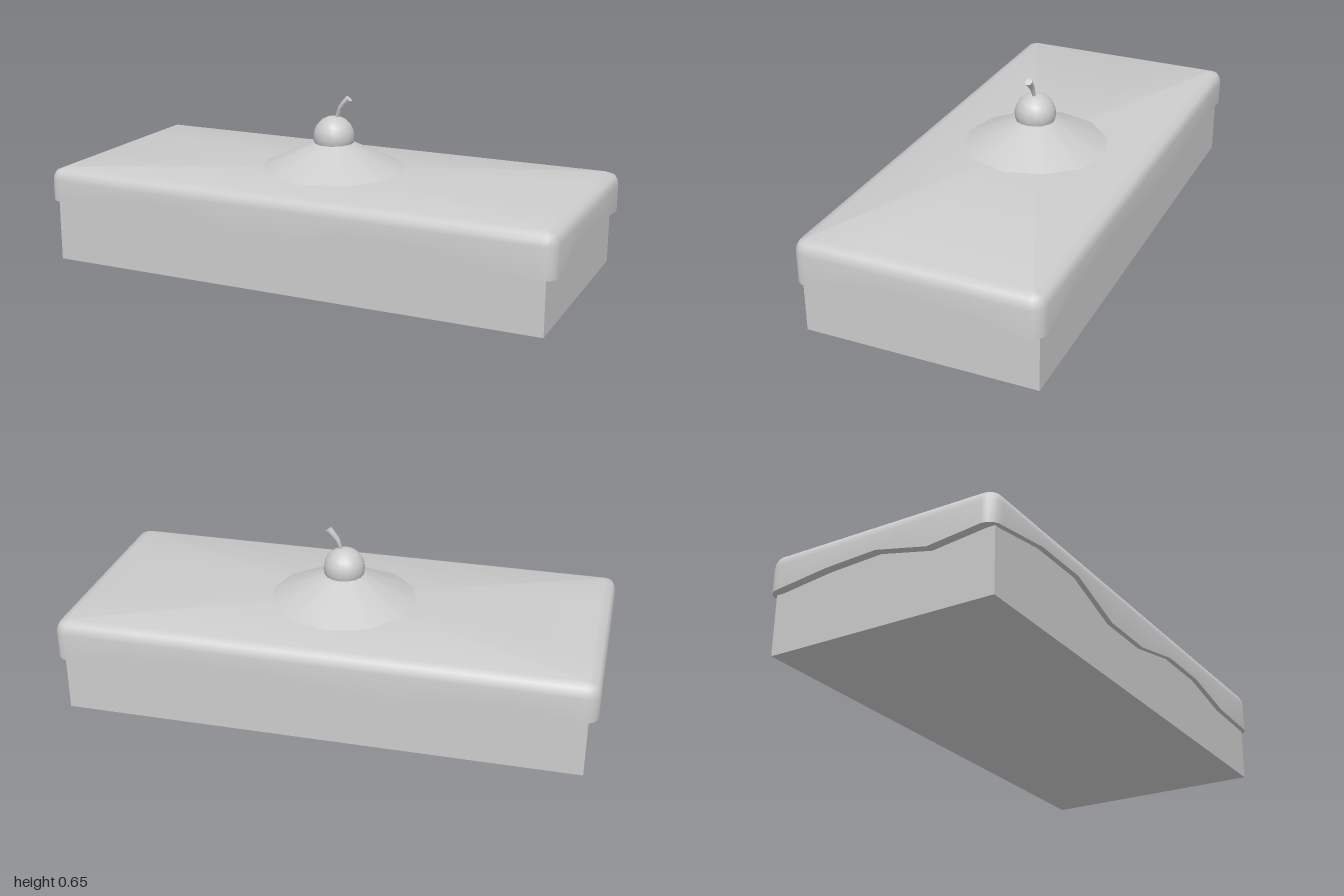
import * as THREE from 'three';
import { toCreasedNormals } from 'three/addons/utils/BufferGeometryUtils.js';

const HALF_X = 1, HALF_Z = 0.455, CORNER = 0.05;

// Height of the wavy lower icing edge along each side, walking round the cake
const SIDES = [
  { start: [-1, 1], dir: [1, 0], low: [0.238, 0.278, 0.28, 0.205, 0.205, 0.255, 0.255, 0.21, 0.203] },
  { start: [1, 1], dir: [0, -1], low: [0.2, 0.258, 0.258, 0.24, 0.213] },
  { start: [1, -1], dir: [-1, 0], low: [0.213, 0.25, 0.26, 0.255, 0.225, 0.21, 0.235, 0.25, 0.225] },
  { start: [-1, -1], dir: [0, 1], low: [0.225, 0.25, 0.26, 0.215, 0.238] },
];

// Rounded rectangle outline, pulled in by inset; y = null follows the wavy edge
function outline(inset, y) {
  const points = [];
  const r = CORNER - inset, cx = HALF_X - CORNER, cz = HALF_Z - CORNER;
  SIDES.forEach(({ start, dir, low }) => {
    const n = low.length - 1;
    const out = [dir[1] * -1, dir[0]];
    low.forEach((h, i) => {
      const t = 2 * i / n;
      points.push([(start[0] + dir[0] * t) * cx + out[0] * r, y ?? h, (start[1] + dir[1] * t) * cz + out[1] * r]);
    });
    // Corner arc to the next side
    const ex = (start[0] + dir[0] * 2) * cx, ez = (start[1] + dir[1] * 2) * cz;
    for (let k = 1; k < 4; k++) {
      const a = k * Math.PI / 8, c = Math.cos(a) * r, s = Math.sin(a) * r;
      points.push([ex + out[0] * c + dir[0] * s, y ?? low[n], ez + out[1] * c + dir[1] * s]);
    }
  });
  // Outward direction is dir turned to the right of travel
  return points;
}

function icingGeometry() {
  const rings = [
    outline(0.038, null), outline(0, null), outline(0, 0.318),
    outline(0.004, 0.337), outline(0.014, 0.353), outline(0.045, 0.365),
  ];
  const n = rings[0].length;
  const index = [];
  for (let j = 0; j < rings.length - 1; j++) {
    for (let i = 0; i < n; i++) {
      const a = j * n + i, b = j * n + (i + 1) % n;
      index.push(a, b, b + n, a, b + n, a + n);
    }
  }
  // Slightly domed top
  const last = (rings.length - 1) * n, centre = rings.length * n;
  for (let i = 0; i < n; i++) index.push(last + i, last + (i + 1) % n, centre);
  const g = new THREE.BufferGeometry();
  g.setAttribute('position', new THREE.Float32BufferAttribute([...rings.flat(2), 0, 0.38, 0], 3));
  g.setIndex(index);
  return toCreasedNormals(g, 0.8);
}

// Hexagonal stalk that flares towards its tip
function stalkGeometry() {
  const path = new THREE.CatmullRomCurve3([
    new THREE.Vector3(0.012, 0.56, 0), new THREE.Vector3(0.026, 0.605, 0), new THREE.Vector3(0.062, 0.645, 0),
  ]);
  const steps = 4, sides = 6;
  const g = new THREE.TubeGeometry(path, steps, 1, sides);
  const p = g.attributes.position, v = new THREE.Vector3();
  for (let i = 0; i < p.count; i++) {
    const t = Math.floor(i / (sides + 1)) / steps;
    const c = path.getPointAt(t);
    v.fromBufferAttribute(p, i).sub(c).multiplyScalar(0.006 + 0.009 * t).add(c);
    p.setXYZ(i, v.x, v.y, v.z);
  }
  g.computeVertexNormals();
  return g;
}

export function createModel() {
  const group = new THREE.Group();
  const material = new THREE.MeshStandardMaterial({ color: 0xcccccc });
  const add = (name, geometry, mat = material) => {
    const mesh = new THREE.Mesh(geometry, mat);
    mesh.name = name;
    group.add(mesh);
    return mesh;
  };

  // Sponge block
  add('cakeBase', new THREE.BoxGeometry(1.934, 0.34, 0.872)).position.y = 0.17;

  // Icing cap with a wavy hem
  add('icing', icingGeometry());

  // Cream mound in the middle
  const mound = add('creamMound', new THREE.CylinderGeometry(0.072, 0.295, 0.105, 12));
  mound.position.y = 0.4215;
  mound.scale.z = 0.95;

  // Cherry and its stalk
  add('cherry', new THREE.SphereGeometry(0.079, 16, 10)).position.y = 0.495;
  add('cherryStalk', stalkGeometry());
  const tip = add('stalkTip', new THREE.CircleGeometry(0.015, 6));
  tip.position.set(0.062, 0.645, 0);
  tip.lookAt(0.062 + 0.68, 0.645 + 0.73, 0);
  tip.material = new THREE.MeshStandardMaterial({ color: 0xcccccc, side: THREE.DoubleSide });
  return group;
}
